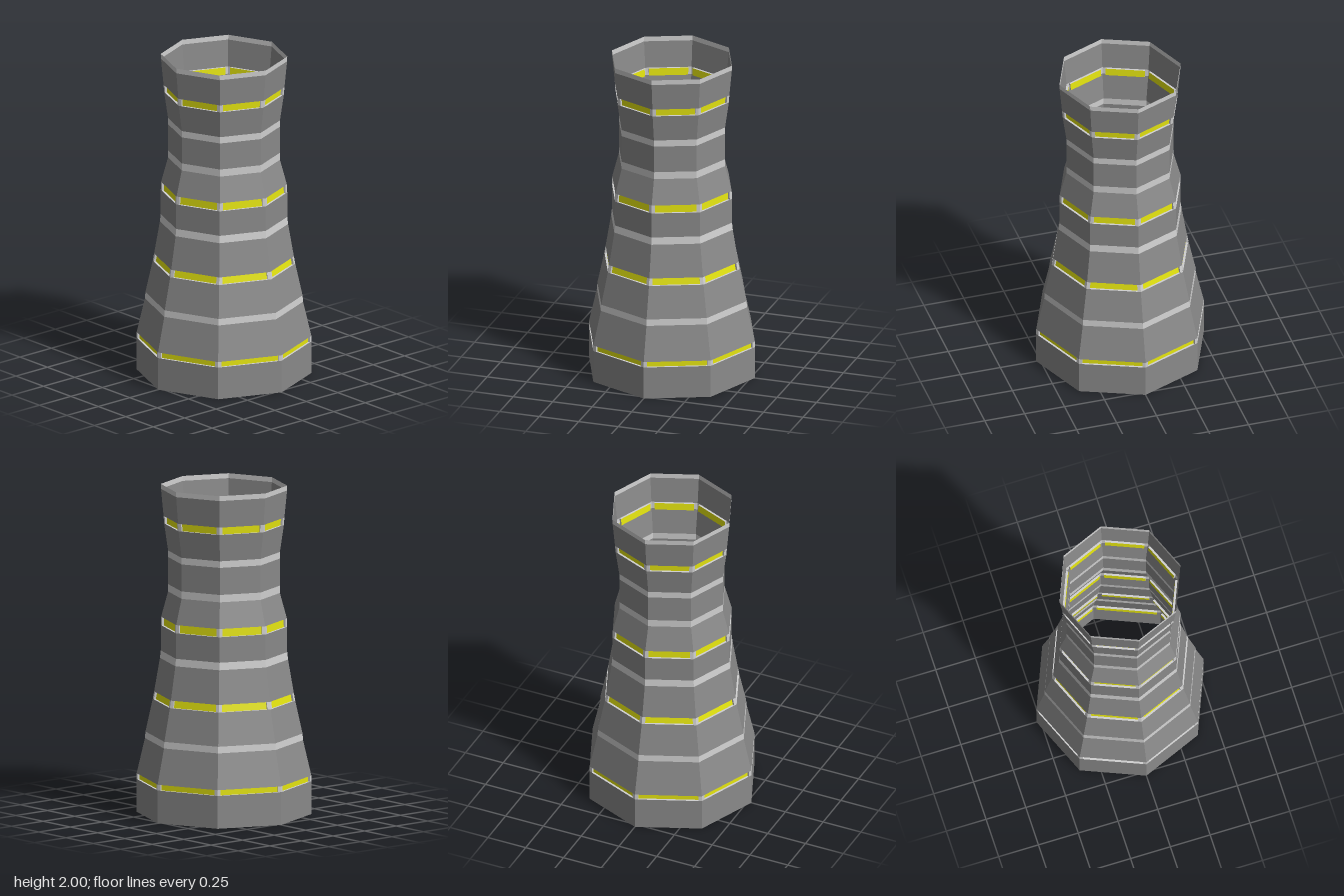
import * as THREE from 'three';

const SIDES = 8, MARGIN = 0.02, RECESS = 0.013;
const SEG = Math.PI * 2 / SIDES;

function material(name, color) {
  const m = new THREE.MeshStandardMaterial({ color, flatShading: true, side: THREE.DoubleSide });
  m.name = name;
  return m;
}

// Mesh from four-cornered faces, corners counter-clockwise from the front
function quadMesh(name, quads, mat) {
  const pts = quads.flatMap(([a, b, c, d]) => [a, b, c, a, c, d]);
  const geo = new THREE.BufferGeometry().setFromPoints(pts);
  geo.computeVertexNormals();
  const mesh = new THREE.Mesh(geo, mat);
  mesh.name = name;
  return mesh;
}

// Point on side i: distance s from its first corner (negative: from its last), pushed inwards
function sidePoint(i, r, y, s, inset = 0) {
  const corner = k => new THREE.Vector3(Math.sin(k * SEG) * r, y, Math.cos(k * SEG) * r);
  const a = corner(i), b = corner(i + 1);
  const along = b.clone().sub(a).normalize();
  const p = s >= 0 ? a.addScaledVector(along, s) : b.addScaledVector(along, s);
  const mid = (i + 0.5) * SEG;
  return p.add(new THREE.Vector3(-Math.sin(mid) * inset, 0, -Math.cos(mid) * inset));
}

// Ring of recessed lit windows between light corner posts
function windowRing(y0, r0, y1, r1, trim, glass) {
  const ring = new THREE.Group();
  ring.name = 'windowRing';
  const posts = [], reveals = [], panes = [];
  for (let i = 0; i < SIDES; i++) {
    const lo = (s, d) => sidePoint(i, r0, y0, s, d);
    const hi = (s, d) => sidePoint(i, r1, y1, s, d);
    const L = MARGIN, R = -MARGIN, D = RECESS;
    posts.push([lo(0), lo(L), hi(L), hi(0)]);
    posts.push([lo(R), lo(-1e-6), hi(-1e-6), hi(R)]);
    panes.push([lo(L, D), lo(R, D), hi(R, D), hi(L, D)]);
    reveals.push([lo(L), lo(R), lo(R, D), lo(L, D)]);
    reveals.push([hi(L, D), hi(R, D), hi(R), hi(L)]);
    reveals.push([lo(L), lo(L, D), hi(L, D), hi(L)]);
    reveals.push([lo(R, D), lo(R), hi(R), hi(R, D)]);
  }
  ring.add(quadMesh('cornerPosts', posts, trim),
    quadMesh('windowReveals', reveals, trim),
    quadMesh('windowPanes', panes, glass));
  return ring;
}

export function createModel() {
  const group = new THREE.Group();
  group.name = 'octagonalTower';
  const wall = material('wallGrey', 0x8a8a8a);
  const trim = material('trimLightGrey', 0xd0d0d0);
  const glass = material('windowYellow', 0xe6e610);

  // Height, corner radius and kind of each level, from the ground up
  const levels = [
    [0, 0.525, 'wall'], [0.2, 0.525, 'window'], [0.235, 0.525, 'wall'],
    [0.45, 0.475, 'band'], [0.49, 0.472, 'wall'],
    [0.69, 0.428, 'window'], [0.735, 0.42, 'wall'],
    [0.94, 0.385, 'band'], [0.985, 0.38, 'wall'],
    [1.14, 0.38, 'window'], [1.19, 0.378, 'wall'],
    [1.345, 0.336, 'band'], [1.39, 0.336, 'wall'],
    [1.555, 0.336, 'band'], [1.595, 0.336, 'wall'],
    [1.76, 0.36, 'window'], [1.805, 0.363, 'wall'],
    [1.97, 0.379, 'band'], [2, 0.38],
  ];

  for (let k = 0; k < levels.length - 1; k++) {
    const [y0, r0, kind] = levels[k], [y1, r1] = levels[k + 1];
    if (kind === 'window') {
      group.add(windowRing(y0, r0, y1, r1, trim, glass));
      continue;
    }
    const geo = new THREE.CylinderGeometry(r1, r0, y1 - y0, SIDES, 1, true);
    const mesh = new THREE.Mesh(geo, kind === 'band' ? trim : wall);
    mesh.name = kind === 'band' ? 'trimBand' : 'wallSection';
    mesh.position.y = (y0 + y1) / 2;
    group.add(mesh);
  }
  return group;
}
